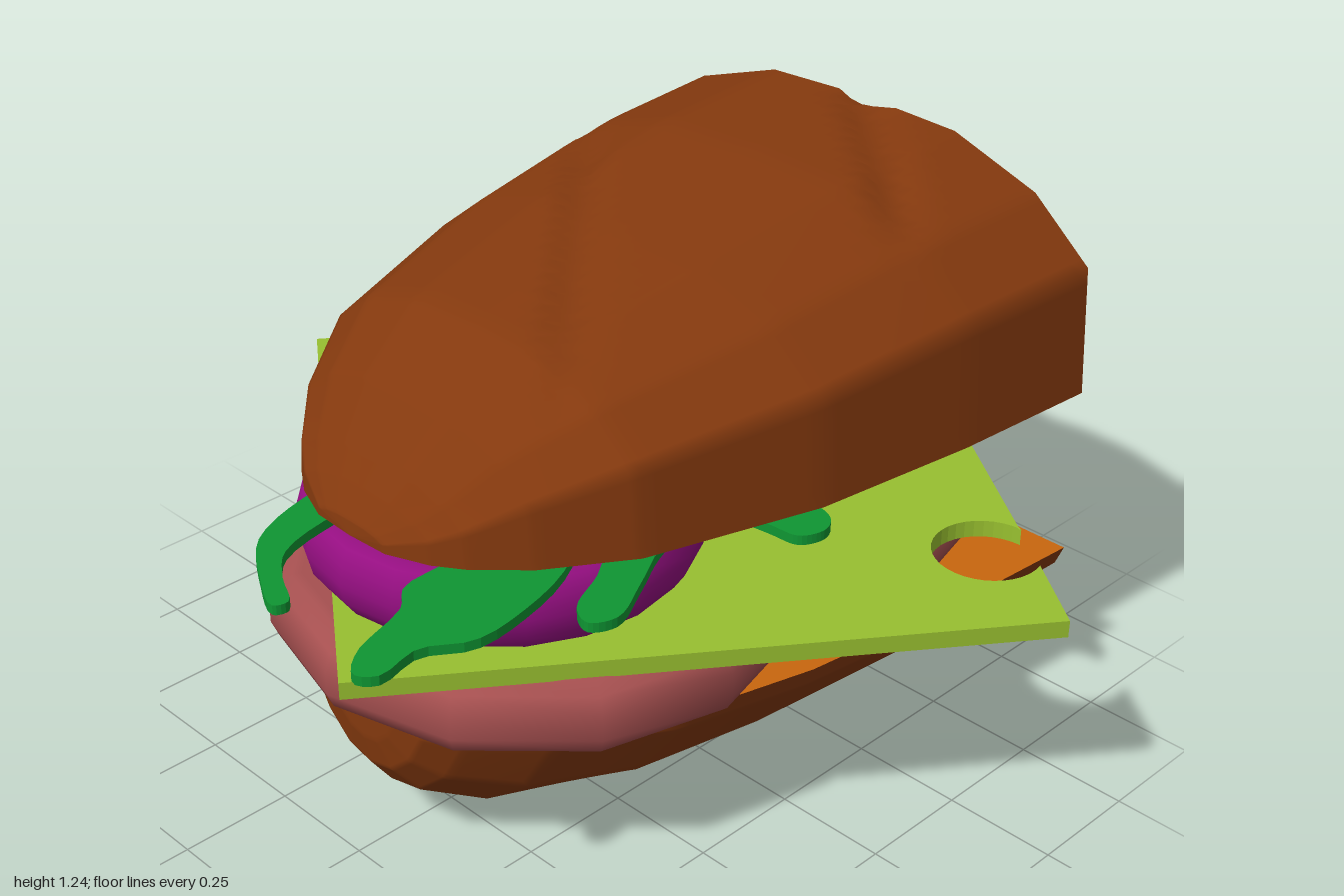
import * as THREE from 'three';

const mat = (name, color) => Object.assign(new THREE.MeshStandardMaterial({ color }), { name });
const crust = mat('brown crust', 0x84390e);
const crumb = mat('orange crumb', 0xc8660e);
const cheeseMat = mat('cheese green', 0x98c030);
const lettuceMat = mat('lettuce green', 0x0f9633);
const onionMat = mat('onion purple', 0x960f82);
const hamMat = mat('ham pink', 0xa65050);

// Surface from a rule fn(u, v) -> [x, y, z]; the outside is du x dv
function grid(nu, nv, fn) {
  const pos = [], idx = [];
  for (let i = 0; i <= nu; i++) for (let j = 0; j <= nv; j++) pos.push(...fn(i / nu, j / nv));
  for (let i = 0; i < nu; i++) {
    for (let j = 0; j < nv; j++) {
      const a = i * (nv + 1) + j, b = a + nv + 1;
      idx.push(a, b, a + 1, b, b + 1, a + 1);
    }
  }
  const g = new THREE.BufferGeometry();
  g.setAttribute('position', new THREE.Float32BufferAttribute(pos, 3));
  g.setIndex(idx);
  g.computeVertexNormals();
  return g;
}

// Piecewise linear reading of a list of rows at t in 0..1
function sample(rows, t) {
  const f = t * (rows.length - 1), i = Math.min(Math.floor(f), rows.length - 2);
  return rows[i].map((a, k) => a + (rows[i + 1][k] - a) * (f - i));
}

// Diagonal slashes in the top crust: start and end as x, z
const slashes = [[-0.44, 0.32, 0.43, -0.5], [0.34, 0.48, 0.86, -0.12]];
function slashDepth(x, z) {
  let d = 0;
  for (const [x0, z0, x1, z1] of slashes) {
    const dx = x1 - x0, dz = z1 - z0, len = Math.hypot(dx, dz);
    const t = ((x - x0) * dx + (z - z0) * dz) / (len * len);
    const side = ((x - x0) * dz - (z - z0) * dx) / len + 0.05;
    if (t > 0 && t < 1 && side > 0 && side < 0.1) {
      const across = side < 0.075 ? side / 0.075 : (0.1 - side) / 0.025;
      d = Math.max(d, 0.03 * across * Math.min(1, 4 * t, 4 * (1 - t)));
    }
  }
  return d;
}

// Half bun: stations are [x, half width, height], section is [width, height] rim to crown
function bun(name, stations, section, baseY, dir, slashed) {
  const ring = [...section, ...section.slice(0, -1).reverse().map(([w, h]) => [-w, h])];
  const point = (u, v) => {
    const [x, w, h] = sample(stations, u), [sw, sh] = sample(ring, v);
    const z = dir * w * sw;
    const cut = slashed && sh > 0.6 ? slashDepth(x, z) : 0;
    return [x, baseY + dir * (h * sh - cut), z];
  };
  const nu = (stations.length - 1) * 10, nv = (ring.length - 1) * 8;
  const group = new THREE.Group();
  group.name = name;
  const add = (part, g, m) => {
    const mesh = new THREE.Mesh(g, m);
    mesh.name = part;
    group.add(mesh);
  };
  add(name + 'Crust', grid(nu, nv, point), crust);
  add(name + 'CutEnd', grid(1, nv, (u, v) => {
    const [x, y, z] = point(1, v);
    return [x, y + (baseY - y) * u, z * (1 - u)];
  }), crumb);
  add(name + 'CutFace', grid(nu, 1, (u, v) => {
    const [x, w] = sample(stations, u);
    return [x, baseY, dir * w * (2 * v - 1)];
  }), crumb);
  return group;
}

// Flat slice: shape drawn as x, -z and extruded upwards from y
function slab(name, shape, y, depth, material) {
  const g = new THREE.ExtrudeGeometry(shape, { depth, bevelEnabled: false, curveSegments: 14 });
  g.rotateX(-Math.PI / 2).translate(0, y, 0);
  const mesh = new THREE.Mesh(g, material);
  mesh.name = name;
  return mesh;
}

// Rounded disc, or the half of it on +x
function disc(name, profile, x, segments, length, material) {
  const pts = profile.map(p => new THREE.Vector2(...p));
  const mesh = new THREE.Mesh(new THREE.LatheGeometry(pts, segments, 0, length), material);
  mesh.name = name;
  mesh.position.x = x;
  return mesh;
}

// Round bite out of an outline, from p to q about centre c
function bite(shape, p, q, c) {
  const ang = a => Math.atan2(a[1] - c[1], a[0] - c[0]);
  const r = Math.hypot(p[0] - c[0], p[1] - c[1]);
  shape.lineTo(...p);
  shape.absarc(c[0], c[1], r, ang(p), ang(q), true);
  shape.lineTo(...q);
}

export function createModel() {
  const model = new THREE.Group();
  model.name = 'sandwich';

  // Bread
  model.add(bun('bottomBun',
    [[-0.72, 0, 0], [-0.718, 0.1, 0.09], [-0.705, 0.17, 0.16], [-0.655, 0.24, 0.23], [-0.52, 0.36, 0.31],
      [-0.3, 0.48, 0.357], [0, 0.56, 0.362], [0.4, 0.615, 0.364], [0.74, 0.64, 0.366]],
    [[1, 0], [0.97, 0.13], [0.74, 0.57], [0.39, 0.9], [0, 1]], 0.366, -1, false));
  model.add(bun('topBun',
    [[-0.72, 0, 0], [-0.715, 0.1, 0.03], [-0.68, 0.19, 0.08], [-0.64, 0.25, 0.13], [-0.55, 0.34, 0.23],
      [-0.38, 0.45, 0.33], [0, 0.565, 0.41], [0.38, 0.615, 0.472], [0.74, 0.64, 0.49]],
    [[1, 0], [0.97, 0.58], [0.74, 0.83], [0.4, 0.98], [0, 1]], 0.752, 1, true));

  // Ham: a full slice and a half slice
  const hamProfile = [[0, 0.37], [0.49, 0.37], [0.51, 0.37], [0.545, 0.385], [0.56, 0.42],
    [0.56, 0.475], [0.545, 0.512], [0.51, 0.528], [0.49, 0.528], [0, 0.528]];
  model.add(disc('hamSlice', hamProfile, -0.24, 12, Math.PI * 2, hamMat));
  model.add(disc('halfHamSlice', hamProfile, 0.32, 6, Math.PI, hamMat));
  const cutShape = new THREE.Shape([...hamProfile, ...hamProfile.map(([r, y]) => [-r, y]).reverse()]
    .map(p => new THREE.Vector2(...p)));
  const hamCut = new THREE.Mesh(new THREE.ShapeGeometry(cutShape).rotateY(-Math.PI / 2), hamMat);
  hamCut.name = 'halfHamCutFace';
  hamCut.position.x = 0.32;
  model.add(hamCut);

  // Cheese with a hole and three bitten edges
  const cheese = new THREE.Shape();
  cheese.moveTo(-0.04, 0.99);
  bite(cheese, [-0.35, 0.57], [-0.5, 0.37], [-0.41, 0.46]);
  cheese.lineTo(-0.88, -0.15);
  cheese.lineTo(0.26, -0.98);
  bite(cheese, [0.38, -0.82], [0.46, -0.71], [0.35, -0.71]);
  bite(cheese, [0.93, -0.06], [0.86, 0.33], [1.03, 0.16]);
  cheese.closePath();
  cheese.holes.push(new THREE.Path().absarc(0.12, 0.535, 0.17, 0, Math.PI * 2, true));
  model.add(slab('cheeseSlice', cheese, 0.526, 0.038, cheeseMat));

  // Onion slices
  const onionProfile = r => [[0, 0.562], [0.85, 0.562], [0.92, 0.57], [0.975, 0.605], [1, 0.65],
    [0.985, 0.69], [0.95, 0.725], [0.88, 0.735], [0, 0.735]].map(([k, y]) => [k * r, y]);
  model.add(disc('leftOnionSlice', onionProfile(0.42), -0.33, 20, Math.PI * 2, onionMat));
  model.add(disc('rightOnionSlice', onionProfile(0.44), 0.51, 20, Math.PI * 2, onionMat));

  // Lettuce leaves, outlines as x, z
  const leaves = [
    [[-0.5, -0.18], [-0.7, -0.17], [-0.85, -0.11], [-0.93, 0], [-0.97, 0.09], [-0.94, 0.1], [-0.9, 0.03],
      [-0.84, -0.04], [-0.68, -0.08], [-0.5, -0.08]],
    [[-0.45, 0.15], [-0.62, 0.2], [-0.76, 0.21], [-0.81, 0.26], [-0.95, 0.31], [-1, 0.36], [-0.97, 0.395],
      [-0.87, 0.38], [-0.78, 0.43], [-0.65, 0.42], [-0.5, 0.37], [-0.35, 0.25]],
    [[-0.3, 0.32], [-0.48, 0.43], [-0.58, 0.48], [-0.6, 0.53], [-0.55, 0.555], [-0.45, 0.51], [-0.36, 0.46],
      [-0.25, 0.4]],
    [[-0.12, 0.35], [-0.12, 0.54], [-0.11, 0.6], [-0.06, 0.62], [-0.02, 0.6], [0, 0.54], [0, 0.35]],
    [[0.5, -0.18], [0.74, -0.23], [0.85, -0.255], [0.96, -0.235], [1, -0.18], [0.95, -0.13], [0.85, -0.09],
      [0.74, -0.05], [0.5, -0.05]],
    [[0.55, 0.24], [0.74, 0.21], [0.85, 0.16], [0.92, 0.07], [0.96, 0.06], [0.95, 0.13], [0.88, 0.22],
      [0.74, 0.3], [0.55, 0.34]],
  ];
  leaves.forEach((leaf, i) => {
    const curve = new THREE.CatmullRomCurve3(leaf.map(([x, z]) => new THREE.Vector3(x, -z, 0)), true);
    const shape = new THREE.Shape(curve.getPoints(40).slice(0, -1).map(p => new THREE.Vector2(p.x, p.y)));
    model.add(slab('lettuceLeaf' + (i + 1), shape, 0.73, 0.021, lettuceMat));
  });
  return model;
}
